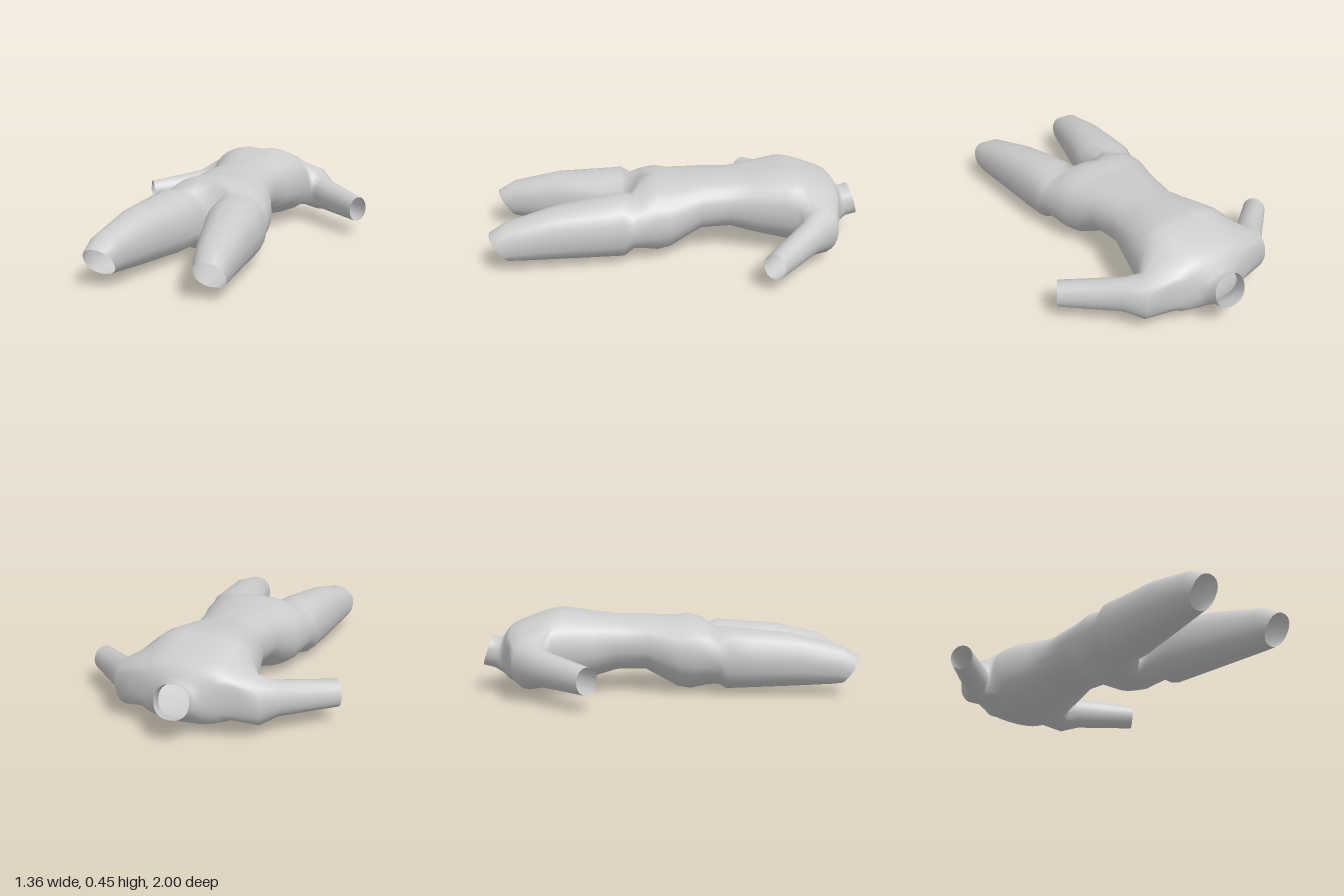
import * as THREE from 'three';
import { mergeVertices } from 'three/addons/utils/BufferGeometryUtils.js';

const M = 14; // segments from the front centre line round the flank to the back centre line
const K = 4;  // segments on the inner side of a leg

// Torso, neck to crotch: z, half width, top y, bottom y, end slant, dip on the centre line
const TORSO = [
  [-0.975, 0.09, 0.30, 0.14, 0.025, 0],
  [-0.92, 0.092, 0.285, 0.125, 0.02, 0],
  [-0.885, 0.13, 0.31, 0.095, 0.005, 0],
  [-0.865, 0.21, 0.335, 0.075, 0, 0],
  [-0.84, 0.28, 0.36, 0.06, 0, 0],
  [-0.79, 0.30, 0.385, 0.04, 0, 0],
  [-0.74, 0.305, 0.405, 0.032, 0, 0.005],
  [-0.68, 0.305, 0.428, 0.03, 0, 0.01],
  [-0.62, 0.30, 0.447, 0.035, 0, 0.015],
  [-0.56, 0.285, 0.455, 0.042, 0, 0.015],
  [-0.4, 0.235, 0.43, 0.075, 0, 0.005],
  [-0.28, 0.205, 0.41, 0.11, 0, 0],
  [-0.12, 0.225, 0.41, 0.11, 0, 0],
  [-0.03, 0.255, 0.403, 0.06, 0, 0],
  [0.05, 0.285, 0.40, 0.015, 0, 0],
  [0.12, 0.30, 0.41, 0.002, 0, 0],
  [0.2, 0.315, 0.385, 0.022, 0, 0],
  [0.25, 0.325, 0.36, 0.028, 0, 0.11],
];
// Leg, crotch to knee: z, inner x, outer x, bottom y, top y, end slant
const LEG = [
  [0.3, 0.03, 0.335, 0.025, 0.357, 0],
  [0.42, 0.042, 0.347, 0.03, 0.345, 0],
  [0.65, 0.11, 0.358, 0.042, 0.325, 0],
  [0.88, 0.175, 0.366, 0.055, 0.262, 0.03],
  [0.95, 0.2, 0.36, 0.06, 0.207, 0.05],
];
// Arm, shoulder to elbow: outer x, outer z, under x, under z, bottom y, top y
const ARM = [
  [0.375, -0.82, 0.31, -0.645, 0.06, 0.31],
  [0.45, -0.71, 0.345, -0.605, 0.08, 0.265],
  [0.68, -0.49, 0.61, -0.39, 0.08, 0.22],
];
const HOLE = { i0: 4, i1: 8, j0: 4, j1: 10 }; // torso patch where the arm grows out

const fat = (v) => Math.sign(v) * Math.abs(v) ** 0.88; // slightly squared ellipse

function torsoRing([z, w, top, bottom, slant, dip]) {
  const cy = (top + bottom) / 2, hy = (top - bottom) / 2, ring = [];
  for (let j = 0; j <= M; j++) {
    const t = Math.PI * j / M, c = fat(Math.cos(t));
    const x = j % M ? w * fat(Math.sin(t)) : 0;
    const notch = c > 0 ? dip * Math.exp(-((x / 0.06) ** 2)) : 0;
    ring.push([x, cy + hy * c - notch, z + slant * c]);
  }
  // points on the centre plane, which open into the inner leg
  for (let k = 1; k < K; k++) {
    ring.push([0, THREE.MathUtils.lerp(ring[M][1], ring[0][1], k / K), z]);
  }
  return ring;
}

function legRing([z, x0, x1, y0, y1, slant]) {
  const ring = [];
  for (let j = 0; j < M + K; j++) {
    const deg = j <= M ? -55 + 290 * j / M : 235 + 70 * (j - M) / K;
    const t = THREE.MathUtils.degToRad(deg), c = fat(Math.cos(t));
    ring.push([
      (x0 + x1) / 2 + (x1 - x0) / 2 * fat(Math.sin(t)),
      (y0 + y1) / 2 + (y1 - y0) / 2 * c,
      z + slant * c,
    ]);
  }
  return ring;
}

function halfBody() {
  const points = [], faces = [];
  const quad = (a, b, c, d) => faces.push([a, b, c], [a, c, d]);
  const N = M + K;
  const rings = [...TORSO.map(torsoRing), ...LEG.map(legRing)];
  rings.forEach((r) => points.push(...r));
  const id = (i, j) => i * N + (j % N);

  // Torso and leg skin, leaving out the centre plane and the arm hole
  for (let i = 0; i < rings.length - 1; i++) {
    const isLeg = i >= TORSO.length - 1;
    for (let j = 0; j < (isLeg ? N : M); j++) {
      const inHole = i >= HOLE.i0 && i < HOLE.i1 && j >= HOLE.j0 && j < HOLE.j1;
      if (!inHole) quad(id(i, j), id(i + 1, j), id(i + 1, j + 1), id(i, j + 1));
    }
  }

  // Border of the arm hole, with the angle each point takes around the arm
  const { i0, i1, j0, j1 } = HOLE, di = i1 - i0, dj = j1 - j0;
  let loop = [];
  const angles = [];
  const side = (n, start, at) => {
    for (let k = 0; k < n; k++) {
      loop.push(at(k));
      angles.push(THREE.MathUtils.degToRad(start - 90 * k / n));
    }
  };
  side(di, 135, (k) => id(i1 - k, j0));
  side(dj, 45, (k) => id(i0, j0 + k));
  side(di, -45, (k) => id(i0 + k, j1));
  side(dj, -135, (k) => id(i1, j1 - k));

  // Arm skin
  for (const [ox, oz, ux, uz, y0, y1] of ARM) {
    const next = angles.map((a) => {
      const c = Math.cos(a), s = Math.sin(a);
      points.push([
        (ox + ux) / 2 + (ox - ux) / 2 * c,
        (y0 + y1) / 2 + (y1 - y0) / 2 * s,
        (oz + uz) / 2 + (oz - uz) / 2 * c,
      ]);
      return points.length - 1;
    });
    loop.forEach((p, k) => {
      const n = (k + 1) % loop.length;
      quad(p, next[k], next[n], loop[n]);
    });
    loop = next;
  }
  return { points, faces };
}

export function createModel() {
  const { points, faces } = halfBody();
  const count = points.length;

  // Mirror the half and weld it along the centre line
  const positions = [...points, ...points.map(([x, y, z]) => [-x, y, z])].flat();
  const index = [...faces, ...faces.map(([a, b, c]) => [a + count, c + count, b + count])].flat();
  let geometry = new THREE.BufferGeometry();
  geometry.setAttribute('position', new THREE.Float32BufferAttribute(positions, 3));
  geometry.setIndex(index);
  geometry = mergeVertices(geometry, 1e-4);
  geometry.computeVertexNormals();

  const body = new THREE.Mesh(geometry, new THREE.MeshStandardMaterial({
    color: 0xcccccc, side: THREE.DoubleSide,
  }));
  body.name = 'body';
  const model = new THREE.Group();
  model.name = 'recliningTorso';
  model.add(body);
  return model;
}
